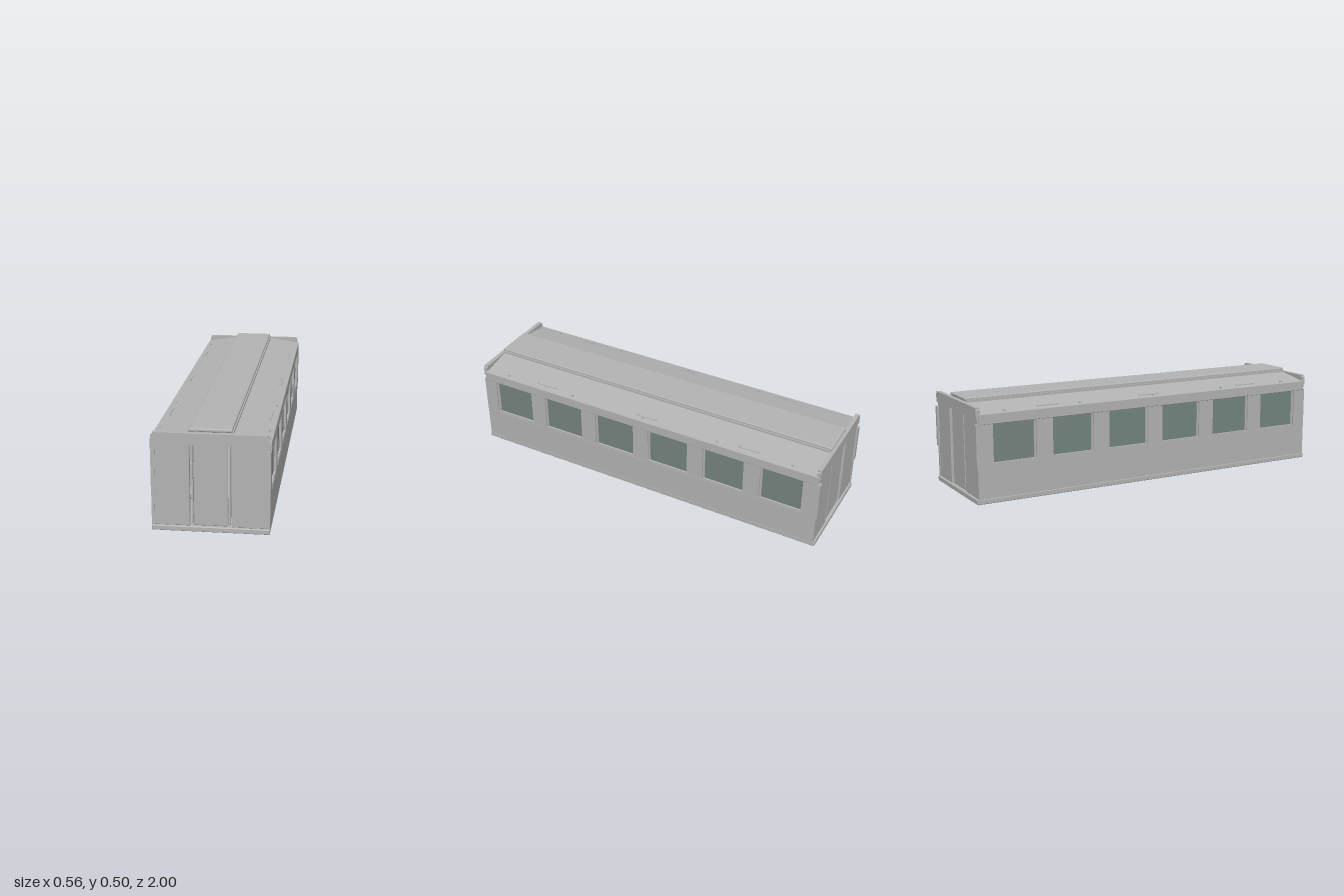
import * as THREE from 'three';
import { RoundedBoxGeometry } from 'three/addons/geometries/RoundedBoxGeometry.js';

export function createModel() {
  const model = new THREE.Group();
  model.name = 'railCarriage';
  const body = new THREE.MeshStandardMaterial({ name: 'bodyGrey', color: 0xb4b4b4 });
  const glass = new THREE.MeshStandardMaterial({ name: 'windowGlass', color: 0x75857f });

  const add = (name, geo, mat = body) => {
    const mesh = new THREE.Mesh(geo, mat);
    mesh.name = name;
    model.add(mesh);
    return mesh;
  };
  // Box from its limits on each axis, with optional rounded edges
  const box = (name, [x0, x1], [y0, y1], [z0, z1], round = 0, mat = body) => {
    const size = [Math.abs(x1 - x0), y1 - y0, Math.abs(z1 - z0)];
    const geo = round ? new RoundedBoxGeometry(...size, 2, round) : new THREE.BoxGeometry(...size);
    const mesh = add(name, geo, mat);
    mesh.position.set((x0 + x1) / 2, (y0 + y1) / 2, (z0 + z1) / 2);
    return mesh;
  };
  // Outline of x, y points pulled along z, centred on z = 0
  const prism = (name, points, length) => {
    const shape = new THREE.Shape(points.map(([x, y]) => new THREE.Vector2(x, y)));
    const geo = new THREE.ExtrudeGeometry(shape, { depth: length, bevelEnabled: false });
    geo.translate(0, 0, -length / 2);
    return add(name, geo);
  };

  // Floor slab
  box('floorSlab', [-0.276, 0.276], [0, 0.025], [-1, 1], 0.004);

  // Pitched roof with a raised walkway along its middle
  prism('roof', [[-0.275, 0.435], [0.275, 0.435], [0.275, 0.447], [0.107, 0.476],
    [-0.107, 0.476], [-0.275, 0.447]], 1.96);
  box('roofPanelBase', [-0.107, 0.107], [0.47, 0.487], [-0.975, 0.975]);
  box('roofPanel', [-0.1, 0.1], [0.483, 0.499], [-0.982, 0.982], 0.005);

  for (const side of [-1, 1]) {
    const sx = (a, b) => [side * a, side * b];

    // Side wall, eave band and sill
    box('lowerSideWall', sx(0.262, 0.277), [0.025, 0.192], [-0.993, 0.993]);
    box('windowSill', sx(0.26, 0.275), [0.19, 0.202], [-0.98, 0.98]);
    box('eaveBand', sx(0.262, 0.281), [0.395, 0.447], [-0.985, 0.985], 0.003);

    // Pillars between the windows
    for (const z of [-0.64, -0.32, 0, 0.32, 0.64])
      box('windowPillar', sx(0.258, 0.278), [0.195, 0.397], [z - 0.042, z + 0.042]);
    box('frontCornerPillar', sx(0.258, 0.278), [0.19, 0.4], [0.92, 0.993]);
    box('rearCornerPillar', sx(0.258, 0.28), [0.19, 0.4], [-1, -0.917]);

    // Windows with slim frames, and a seat beside each
    for (let i = 0; i < 6; i++) {
      const z = (i - 2.5) * 0.32;
      box('windowGlass', sx(0.26, 0.265), [0.2, 0.397], [z - 0.119, z + 0.119], 0, glass);
      for (const e of [-1, 1])
        box('windowFrame', sx(0.259, 0.27), [0.2, 0.397], [z + e * 0.108, z + e * 0.12]);
      box('seatCushion', sx(0.092, 0.25), [0.1, 0.13], [z - 0.06, z + 0.05], 0.006);
      box('seatBack', sx(0.084, 0.25), [0.105, 0.25], [z - 0.075, z - 0.05], 0.008);
      box('seatLeg', sx(0.088, 0.1), [0.025, 0.11], [z - 0.05, z + 0.03]);
    }

    // Small roof vents and grab rails near the eaves
    for (const z of [-0.84, -0.43, 0, 0.43, 0.84])
      box('roofVent', sx(0.25, 0.262), [0.445, 0.456], [z - 0.006, z + 0.006]);
    for (const z of [-0.6, -0.02, 0.6]) {
      box('grabRail', sx(0.246, 0.249), [0.452, 0.456], [z - 0.056, z + 0.056]);
      for (const e of [-1, 1])
        box('railBracket', sx(0.232, 0.249), [0.45, 0.456], [z + e * 0.056 - 0.002, z + e * 0.056 + 0.002]);
    }
  }

  // Both ends: side panels, stepped header, door and door jambs
  for (const end of [-1, 1]) {
    const ez = (a, b) => [end * a, end * b];
    for (const side of [-1, 1]) {
      box('endPanel', [side * 0.098, side * 0.274], [0.025, 0.426], ez(0.965, 0.99), 0.003);
      box('doorJamb', [side * 0.085, side * 0.091], [0.025, 0.426], ez(0.955, 0.97));
    }
    const header = prism('endHeader', [[-0.274, 0.424], [0.274, 0.424], [0.274, 0.468],
      [0.266, 0.47], [0.266, 0.479], [-0.266, 0.479], [-0.266, 0.47], [-0.274, 0.468]], 0.022);
    header.position.z = end * 0.985;
    box('endDoor', [-0.08, 0.08], [0.026, 0.424], ez(0.967, 0.985), 0.005);
  }
  return model;
}
